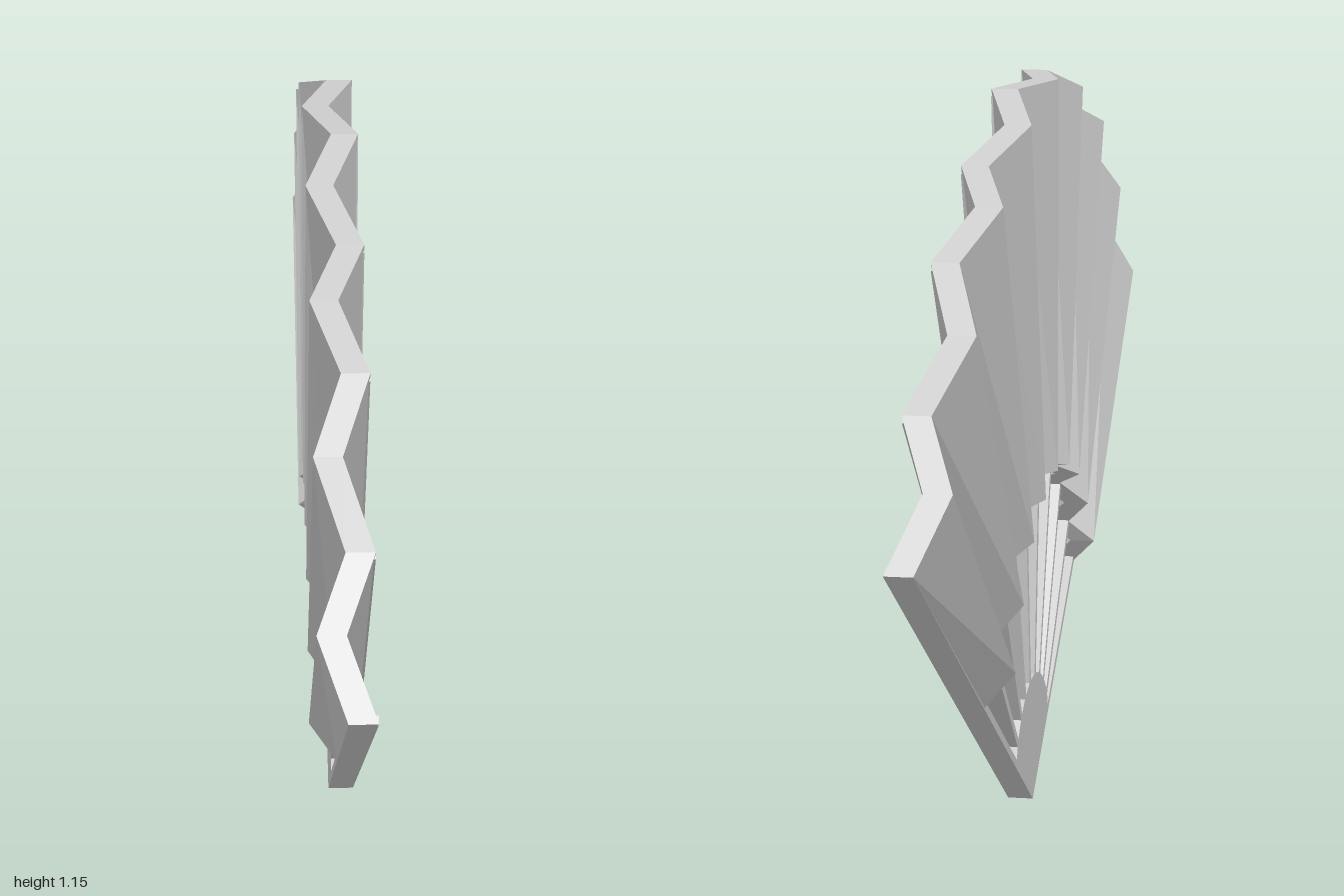
import * as THREE from 'three';

const T = 0.04; // thickness of leaf, ribs and guard
// half profile of the pleated leaf from the centre fold to the end rib, as [z, y]
const OUTER = [[0, 1.155], [0.143, 1.154], [0.268, 1.115], [0.408, 1.072], [0.523, 1.03],
  [0.649, 0.97], [0.745, 0.887], [0.865, 0.8], [0.93, 0.71], [1, 0.615]];
const INNER = [[0, 0.54], [0.064, 0.539], [0.125, 0.522], [0.19, 0.509], [0.24, 0.482],
  [0.291, 0.455], [0.341, 0.41], [0.391, 0.366], [0.417, 0.327], [0.455, 0.283]];

const mirrored = (half, i) => [Math.sign(i) * half[Math.abs(i)][0], half[Math.abs(i)][1]];

// Zigzag sheet: one four-cornered section per fold, joined in a loop
function leafGeometry() {
  const positions = [], index = [];
  for (let i = -9; i <= 9; i++) {
    const x = i % 2 ? 0 : -T;
    const [zo, yo] = mirrored(OUTER, i), [zi, yi] = mirrored(INNER, i);
    positions.push(x, yi, zi, x + T, yi, zi, x + T, yo, zo, x, yo, zo);
  }
  for (let s = 0; s < 18; s++) {
    for (let k = 0; k < 4; k++) {
      const a = s * 4 + k, b = s * 4 + (k + 1) % 4;
      index.push(a, b, b + 4, a, b + 4, a + 4);
    }
  }
  index.push(0, 2, 1, 0, 3, 2); // end caps
  index.push(72, 73, 74, 72, 74, 75);
  const g = new THREE.BufferGeometry();
  g.setAttribute('position', new THREE.Float32BufferAttribute(positions, 3));
  g.setIndex(index);
  const flat = g.toNonIndexed();
  flat.computeVertexNormals();
  return flat;
}

export function createModel() {
  const group = new THREE.Group();
  group.name = 'foldingFan';
  const material = new THREE.MeshStandardMaterial({ color: 0xcccccc, flatShading: true });
  const add = (name, geometry) => {
    const mesh = new THREE.Mesh(geometry, material);
    mesh.name = name;
    group.add(mesh);
    return mesh;
  };

  add('pleatedLeaf', leafGeometry());

  // Ribs under every raised fold, the end ones flush with the leaf's edge
  const width = 0.013, start = 0.17;
  const hub = new THREE.Shape();
  hub.moveTo(0, 0);
  for (let i = -9; i <= 9; i += 2) {
    const [z, y] = mirrored(OUTER, i);
    const angle = Math.atan2(z, y), length = Math.hypot(z, y) - 0.01 - start;
    const shift = Math.abs(i) === 9 ? -Math.sign(i) * width / 2 : 0;
    const box = new THREE.BoxGeometry(T, length, width);
    box.translate(T / 2, start + length / 2, shift);
    add('rib', box).rotation.x = angle;
    const r = Math.abs(i) === 9 ? 0.193 : 0.204;
    hub.lineTo(-r * Math.sin(angle), r * Math.cos(angle));
  }
  hub.closePath();

  // Solid sector holding the ribs together at the pivot
  const hubGeometry = new THREE.ExtrudeGeometry(hub, { depth: T, bevelEnabled: false });
  hubGeometry.rotateY(Math.PI / 2);
  add('hub', hubGeometry);
  return group;
}
